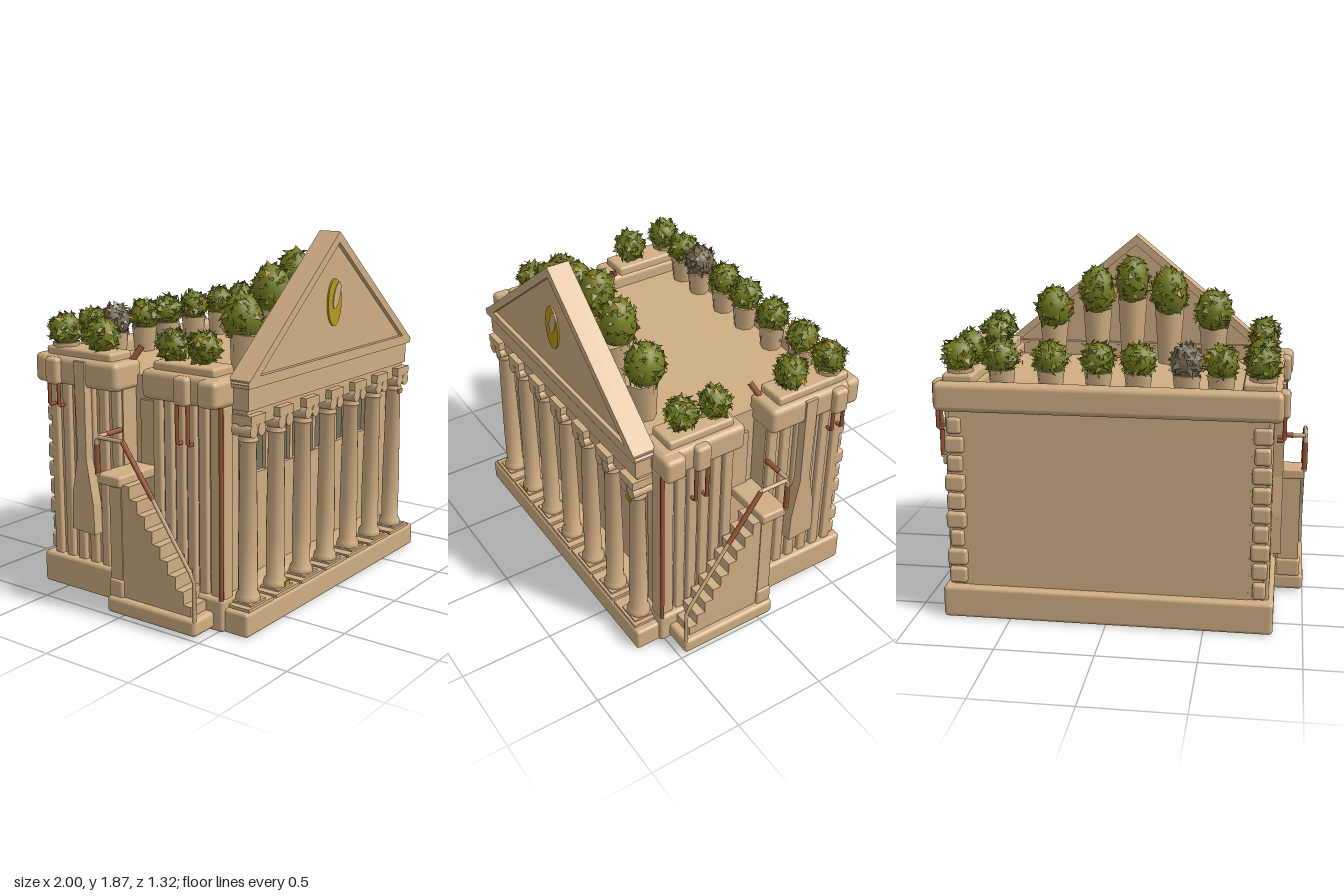
import * as THREE from 'three';
import { toCreasedNormals } from 'three/addons/utils/BufferGeometryUtils.js';
import { RoundedBoxGeometry } from 'three/addons/geometries/RoundedBoxGeometry.js';

const mat = (name, color, extra = {}) => {
  const m = new THREE.MeshStandardMaterial({ color, ...extra });
  m.name = name;
  return m;
};

export function createModel() {
  const root = new THREE.Group();
  root.name = 'templeWithRoofGarden';
  const stone = mat('stone', 0xd0ae83);
  const copper = mat('copper', 0x9a5638);
  const glass = mat('glass', 0x75735f);
  const gold = mat('gold', 0xb89a1c);
  const leaf = mat('leaf', 0x747c22, { side: THREE.DoubleSide });
  const yellowLeaf = mat('yellowLeaf', 0xb98f2a, { side: THREE.DoubleSide });
  const dryLeaf = mat('dryLeaf', 0x7b6f58, { side: THREE.DoubleSide });

  let seed = 7;
  const rnd = () => (seed = (seed * 16807) % 2147483647) / 2147483647;

  const add = (name, geo, m, x = 0, y = 0, z = 0) => {
    const mesh = new THREE.Mesh(geo, m);
    mesh.name = name;
    mesh.position.set(x, y, z);
    root.add(mesh);
    return mesh;
  };
  // Box given by its ranges, optionally with rounded edges
  const box = (name, x0, x1, y0, y1, z0, z1, m = stone, r = 0) => {
    const [a, b] = [Math.min(x0, x1), Math.max(x0, x1)];
    const s = [b - a, y1 - y0, z1 - z0];
    const g = r ? new RoundedBoxGeometry(...s, 3, r) : new THREE.BoxGeometry(...s);
    return add(name, g, m, (a + b) / 2, (y0 + y1) / 2, (z0 + z1) / 2);
  };
  // Pipe running through points
  const pipe = (name, pts, r, m) => {
    const path = new THREE.CurvePath();
    const v = pts.map(p => new THREE.Vector3(...p));
    for (let i = 1; i < v.length; i++) path.add(new THREE.LineCurve3(v[i - 1], v[i]));
    return add(name, new THREE.TubeGeometry(path, (v.length - 1) * 6, r, 8), m);
  };
  const poly = pts => new THREE.Shape(pts.map(p => new THREE.Vector2(...p)));

  // Base and core of the building
  box('base', -0.85, 0.85, 0, 0.17, -0.66, 0.53, stone, 0.02);
  box('core', -0.7, 0.7, 0.16, 1.12, -0.6, 0.4);
  box('roof', -0.7, 0.7, 1.1, 1.17, -0.6, 0.53);
  box('frontWall', -0.74, 0.74, 0.16, 0.69, 0.38, 0.43);
  box('windowBand', -0.7, 0.7, 0.69, 1.02, 0.395, 0.405, glass);
  for (let i = 0; i < 13; i++) {
    const x = -0.66 + i * 0.11;
    box('mullion', x - 0.013, x + 0.013, 0.69, 1.03, 0.4, 0.425);
  }

  // Front plinth with paving slabs
  box('plinth', -0.83, 0.83, 0, 0.12, 0.5, 0.66, stone, 0.015);
  for (let i = 0; i < 7; i++) box('pavingSlab', -0.8 + i * 0.23, -0.59 + i * 0.23, 0.115, 0.135, 0.51, 0.65);

  // Columns
  const shaft = new THREE.LatheGeometry([[0.058, 0.13], [0.062, 0.15], [0.058, 0.17], [0.047, 0.19],
    [0.048, 0.4], [0.04, 0.92], [0.05, 0.94], [0.042, 0.96], [0.06, 1.03]].map(p => new THREE.Vector2(...p)), 20);
  const shaftSharp = toCreasedNormals(shaft, 0.7);
  const volute = new THREE.CylinderGeometry(0.032, 0.032, 0.115, 14).rotateX(Math.PI / 2);
  for (let i = 0; i < 7; i++) {
    const x = -0.705 + i * 0.235;
    add('column', shaftSharp, stone, x, 0, 0.575);
    box('columnFoot', x - 0.062, x + 0.062, 0.12, 0.145, 0.513, 0.637);
    for (const s of [-1, 1]) add('volute', volute, stone, x + s * 0.033, 0.995, 0.575);
    box('abacus', x - 0.06, x + 0.06, 1.025, 1.07, 0.515, 0.635);
  }

  // Entablature and pediment
  box('architrave', -0.75, 0.75, 1.01, 1.1, 0.5, 0.6);
  box('frieze', -0.76, 0.76, 1.09, 1.21, 0.51, 0.615);
  box('cornice', -0.78, 0.78, 1.2, 1.235, 0.51, 0.632);
  const gable = poly([[-0.79, 1.22], [0.79, 1.22], [0, 1.87]]);
  gable.holes.push(new THREE.Path([[-0.69, 1.25], [0, 1.815], [0.69, 1.25]].map(p => new THREE.Vector2(...p))));
  add('rakingCornice', new THREE.ExtrudeGeometry(gable, { depth: 0.12, bevelEnabled: false }), stone, 0, 0, 0.512);
  add('tympanum', new THREE.ExtrudeGeometry(poly([[-0.73, 1.23], [0.73, 1.23], [0, 1.83]]),
    { depth: 0.07, bevelEnabled: false }), stone, 0, 0, 0.54);
  const disc = new THREE.CylinderGeometry(1, 1, 0.009, 32).rotateX(Math.PI / 2);
  add('ovalMedallion', disc, gold, -0.015, 1.515, 0.614).scale.set(0.064, 0.12, 1);
  const inlay = add('medallionInlay', disc, stone, 0, 1.55, 0.618);
  inlay.scale.set(0.028, 0.07, 1);
  inlay.rotation.z = -0.35;

  // Back wall frame and rounded back parapet
  box('backPanel', -0.72, 0.72, 0.16, 1.1, -0.615, -0.59);
  box('backParapet', -0.87, 0.87, 1.1, 1.25, -0.66, -0.57, stone, 0.03);

  for (const s of [-1, 1]) {
    // Side wings either side of a recessed bay
    for (const [z0, z1] of [[-0.61, -0.12], [0.08, 0.5]]) {
      box('sideWing', s * 0.68, s * 0.8, 0.16, 1.12, z0, z1);
      const n = 6;
      for (let i = 0; i < n; i++) {
        const z = z0 + 0.035 + (z1 - z0 - 0.07) * i / (n - 1);
        box('wallRib', s * 0.79, s * 0.825, 0.16, 1.11, z - 0.027, z + 0.027, stone, 0.012);
      }
    }
    box('frontPilaster', s * 0.755, s * 0.825, 0.15, 1.11, 0.44, 0.525, stone, 0.01);
    box('bayDoor', s * 0.69, s * 0.715, 0.72, 1.05, -0.08, 0.04);

    // Parapets, planters and end posts
    for (const [z0, z1, end] of [[-0.66, -0.11, -0.12], [0.05, 0.53, 0.06]]) {
      box('sideParapet', s * 0.66, s * 0.865, 1.1, 1.245, z0, z1, stone, 0.03);
      box('planter', s * 0.67, s * 0.83, 1.22, 1.285, z0 + 0.05, z1 - 0.06, stone, 0.015);
      const d = end < 0 ? 1 : -1;
      pipe('parapetPost', [[s * 0.7, 1.23, end - d * 0.03], [s * 0.66, 1.31, end + d * 0.01]], 0.016, end < 0 ? copper : stone);
    }

    // Rain boxes with paired copper pipes
    for (const [z, y] of [[0.315, 0.91], [-0.52, 0.99]]) {
      box('rainBox', s * 0.84, s * 0.9, 1.1, 1.24, z - 0.043, z + 0.043, stone, 0.02);
      for (const d of [-0.032, 0.032])
        pipe('drainPipe', [[s * 0.875, 1.12, z + d], [s * 0.875, y, z + d], [s * 0.84, y, z + d]], 0.01, copper);
    }
    box('cornerBlock', s * 0.76, s * 0.91, 1.11, 1.24, 0.42, 0.535, stone, 0.025);
    pipe('cornerPipe', [[s * 0.838, 1.11, 0.515], [s * 0.838, 0.16, 0.515]], 0.011, copper);

    // Hanging stone chute on the side wall
    const chute = poly([[-0.38, 1.235], [-0.37, 0.75], [-0.41, 0.55], [-0.418, 0.35], [-0.265, 0.34],
      [-0.27, 0.5], [-0.31, 0.73], [-0.31, 1.235]]);
    add('chute', new THREE.ExtrudeGeometry(chute, { depth: 0.06, bevelEnabled: false }).rotateY(-Math.PI / 2),
      stone, s * 0.845 + 0.03, 0, 0);

    // Rough corner stones at the back
    for (let i = 0; i < 9; i++) {
      const w = 0.028 + rnd() * 0.02;
      box('cornerStone', s * (0.77 - w), s * (0.78 + w), 0.18 + i * 0.1, 0.265 + i * 0.1, -0.625 - rnd() * 0.02, -0.57, stone, 0.016);
    }

    // Staircase, landing and support
    const steps = [[0, 0.08], [0.43, 0.08]];
    for (let i = 0; i < 9; i++) {
      const z = 0.43 - i * 0.047, y = 0.15 + i * 0.066;
      steps.push([z, y], [z - 0.047, y]);
    }
    add('stairs', new THREE.ExtrudeGeometry(poly([...steps, [0, 0.67]]), { depth: 0.13, bevelEnabled: false })
      .rotateY(-Math.PI / 2), stone, s * 0.9 + 0.065, 0, 0);
    box('stairFoot', s * 0.83, s * 1.0, 0.015, 0.1, -0.08, 0.475, stone, 0.02);
    box('landing', s * 0.7, s * 0.985, 0.665, 0.72, -0.14, 0.01, stone, 0.012);
    box('landingPost', s * 0.86, s * 0.97, 0.09, 0.67, -0.07, 0.005);
    box('landingPostFoot', s * 0.85, s * 0.98, 0.09, 0.19, -0.08, 0.01, stone, 0.015);

    // Handrail, copper in its upper part
    const x = s * 0.985;
    pipe('lowerRail', [[x, 0.07, 0.465], [x, 0.3, 0.465], [x, 0.65, 0.22]], 0.01, stone);
    pipe('upperRail', [[x, 0.65, 0.22], [x, 0.905, 0.035]], 0.013, copper);
    pipe('landingRail', [[x, 0.905, 0.035], [x, 0.905, -0.13], [x, 0.71, -0.13]], 0.011, stone);
    pipe('landingRailSleeve', [[x, 0.87, -0.13], [x, 0.72, -0.13]], 0.014, copper);
    pipe('wallRail', [[x, 0.905, -0.13], [s * 0.92, 0.905, -0.13]], 0.011, stone);
    pipe('wallRailEnd', [[s * 0.92, 0.905, -0.13], [s * 0.81, 0.905, -0.13]], 0.014, copper);
  }

  // Pointed leaves scattered over an ellipsoid
  const leaves = (n, rx, ry, size) => {
    const pos = [];
    for (let i = 0; i < n; i++) {
      const u = 1 - 1.8 * (i + 0.5) / n, a = i * 2.39996 + rnd();
      const k = Math.sqrt(1 - u * u);
      const dir = new THREE.Vector3(k * Math.cos(a), u, k * Math.sin(a));
      const c = dir.clone().multiply(new THREE.Vector3(rx, ry, rx)).multiplyScalar(0.95);
      const t = new THREE.Vector3(rnd() - 0.5, rnd() - 0.5, rnd() - 0.5).cross(dir).normalize();
      const up = dir.clone().cross(t);
      const l = size * (0.7 + 0.6 * rnd());
      const tip = c.clone().addScaledVector(up, l).addScaledVector(dir, l * 0.6);
      for (const p of [c.clone().addScaledVector(t, -l * 0.5), c.clone().addScaledVector(t, l * 0.5), tip]) pos.push(p.x, p.y, p.z);
    }
    const g = new THREE.BufferGeometry();
    g.setAttribute('position', new THREE.Float32BufferAttribute(pos, 3));
    g.computeVertexNormals();
    return g;
  };
  const ball = new THREE.IcosahedronGeometry(1, 2);
  const bush = (x, y, z, rx, ry, m = leaf) => {
    add('bushCore', ball, m, x, y, z).scale.set(rx, ry, rx);
    add('bushLeaves', leaves(90, rx, ry, 0.032), m, x, y, z);
    add('bushYellowLeaves', leaves(9, rx * 1.04, ry * 1.04, 0.028), yellowLeaf, x, y, z);
  };

  // Bushes along the back and on the side planters
  for (const x of [-0.765, -0.56, -0.39, -0.15, 0.05, 0.29, 0.54, 0.755]) {
    bush(x, 1.365, -0.53, 0.08, 0.085, x === -0.39 ? dryLeaf : leaf);
    add('backPot', new THREE.CylinderGeometry(0.07, 0.055, 0.14, 8), stone, x, 1.235, -0.53);
  }
  for (const s of [-1, 1]) {
    bush(s * 0.755, 1.36, -0.29, 0.08, 0.09);
    bush(s * 0.75, 1.355, 0.165, 0.073, 0.078);
    bush(s * 0.75, 1.36, 0.35, 0.075, 0.08);
  }

  // Taller bushes on rough pots behind the gable
  for (const [x, y, rx, ry] of [[-0.46, 1.47, 0.1, 0.12], [-0.21, 1.57, 0.1, 0.14], [0, 1.63, 0.09, 0.14],
    [0.2, 1.57, 0.095, 0.14], [0.45, 1.47, 0.1, 0.12]]) {
    bush(x, y, 0.365, rx, ry);
    const h = y - ry * 0.6 - 1.16;
    add('gablePot', new THREE.CylinderGeometry(0.085, 0.06, h, 7).toNonIndexed(), stone, x, 1.16 + h / 2, 0.38).rotation.x = 0.08;
  }
  // Dry stray leaves and moss flecks on two columns
  add('dryLeaves', leaves(14, 0.09, 0.09, 0.025), dryLeaf, 0.5, 1.37, -0.52);
  box('mossFleck', -0.475, -0.435, 0.146, 0.17, 0.632, 0.64, gold);
  box('mossFleck', 0.68, 0.72, 0.92, 0.945, 0.617, 0.625, gold);
  return root;
}
